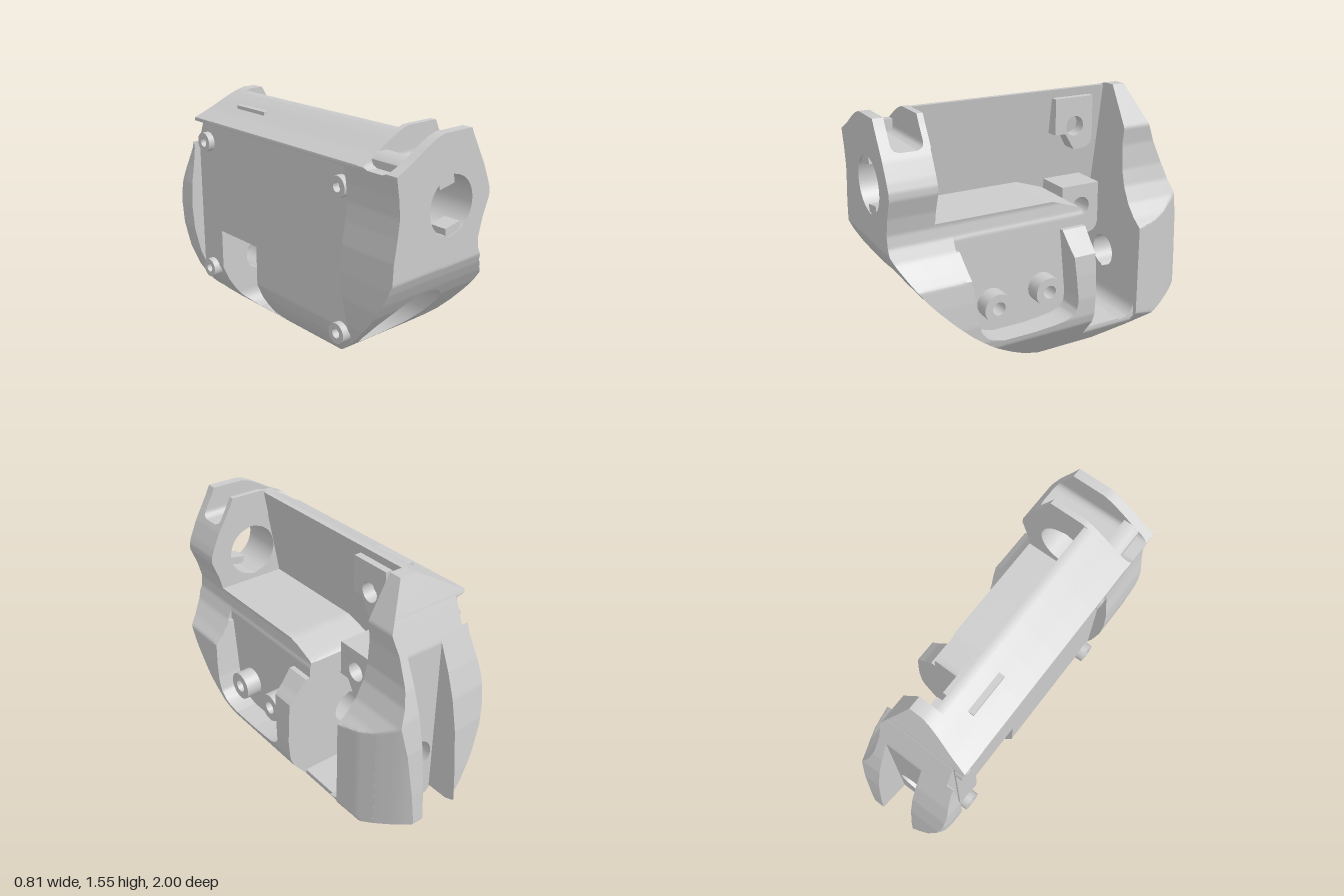
import * as THREE from 'three';
import { toCreasedNormals } from 'three/addons/utils/BufferGeometryUtils.js';

// piecewise-linear function through [input, output] pairs
const curve = (...pts) => (t) => {
  if (t <= pts[0][0]) return pts[0][1];
  for (let i = 1; i < pts.length; i++) {
    const [t0, v0] = pts[i - 1], [t1, v1] = pts[i];
    if (t <= t1) return v0 + ((t - t0) / (t1 - t0)) * (v1 - v0);
  }
  return pts[pts.length - 1][1];
};

// outer limits of the housing, as functions of height
const xMin = curve([0, 0.19], [0.02, 0.1], [0.055, 0], [0.11, -0.1], [0.2, -0.2], [0.27, -0.255], [0.34, -0.3],
  [0.48, -0.36], [0.65, -0.4], [0.8, -0.41], [0.95, -0.403], [1.08, -0.382], [1.18, -0.37], [1.28, -0.38],
  [1.39, -0.4], [1.44, -0.3], [1.5, -0.2], [1.535, -0.13], [1.55, -0.08]);
const xMax = curve([0, 0.2], [0.22, 0.375], [0.28, 0.395], [0.4, 0.405], [0.55, 0.4], [0.67, 0.39], [0.72, 0.34],
  [0.8, 0.275], [0.88, 0.237], [0.95, 0.23], [1.05, 0.255], [1.16, 0.298], [1.2, 0.298], [1.25, 0.28],
  [1.35, 0.235], [1.5, 0.15], [1.55, 0.125]);
const front = curve([0, 0.08], [0.05, 0.2], [0.11, 0.3], [0.18, 0.4], [0.255, 0.5], [0.335, 0.6], [0.425, 0.695],
  [0.525, 0.79], [0.6, 0.855], [0.7, 0.925], [0.78, 0.972], [0.84, 1]);
const back = curve([0, -0.32], [0.055, -0.55], [0.14, -0.8], [0.215, -1], [0.42, -0.985], [0.69, -0.955],
  [0.88, -0.915], [1.03, -0.865], [1.16, -0.81], [1.35, -0.73], [1.55, -0.64]);

// side plate: recessed outside below its top lip, leaning inside
const plane = (y) => (y < 1.37 ? Math.max(xMin(y), -0.34) : xMin(y));
const lean = (y) => -0.1 - 0.176 * (1.535 - y);
// rear right flank: tapers backwards and is scooped out towards the top
const taper = curve([-1, 0.14], [-0.95, 0.18], [-0.9, 0.21], [-0.8, 0.26], [-0.7, 0.3], [-0.56, 0.33]);
const scoop = curve([0.73, 0.33], [0.78, 0.265], [0.85, 0.205], [0.95, 0.155], [1.05, 0.13], [1.2, 0.12],
  [1.31, 0.135], [1.55, 0.0]);
const flank = (y, z) => Math.min(xMax(y), taper(z), scoop(y));
// edge of a round bore running along z
const arc = (cx, cy, r, side) => (y) => cx + side * Math.sqrt(Math.max(0, r * r - (y - cy) ** 2));

const material = new THREE.MeshStandardMaterial({ color: 0xcccccc, side: THREE.DoubleSide });
const val = (f, ...args) => (typeof f === 'function' ? f(...args) : f);
const circle = (x, y, r) => new THREE.Path().absarc(x, y, r, 0, Math.PI * 2, true);

export function createModel() {
  const model = new THREE.Group();
  const add = (name, geometry) => {
    const mesh = new THREE.Mesh(toCreasedNormals(geometry, 0.55), material);
    mesh.name = name;
    model.add(mesh);
  };

  // a box whose x limits follow (y, z) and whose z limits follow y
  const solid = (name, [y0, y1], [z0, z1], a, b) => {
    const g = new THREE.BoxGeometry(1, 1, 1, 1, Math.max(2, Math.ceil((y1 - y0) * 90)), 8);
    const p = g.attributes.position;
    for (let i = 0; i < p.count; i++) {
      const y = y0 + (p.getY(i) + 0.5) * (y1 - y0);
      const zb = val(z0, y), zf = Math.max(zb, val(z1, y));
      const z = zb + (p.getZ(i) + 0.5) * (zf - zb);
      const xb = val(b, y, z), xa = Math.min(val(a, y, z), xb);
      p.setXYZ(i, xa + (p.getX(i) + 0.5) * (xb - xa), y, z);
    }
    add(name, g);
  };
  // the same, pierced by a round bore
  const bored = (name, ys, zs, a, b, cx, cy, r) => {
    const left = arc(cx, cy, r, -1), right = arc(cx, cy, r, 1);
    solid(name + 'Left', ys, zs, a, (y, z) => Math.max(left(y), val(a, y, z)));
    solid(name + 'Right', ys, zs, (y, z) => Math.max(right(y), val(a, y, z)), b);
  };

  // lower body: bore r 0.105 opening into a round recess r 0.22
  const top = 0.97, lip = 0.63;
  const until = (limit) => (y) => Math.min(limit, front(y));
  const ledge = (y) => -0.2 + (Math.max(0, y - 0.9) / 0.07) * 0.2;
  const skin = (y) => Math.min(0.2, xMax(y));
  const floor = (y) => Math.min(0.245, xMax(y));
  bored('lowerCore', [0, top], [ledge, until(0.35)], plane, skin, -0.05, 0.46, 0.105);
  bored('recessWall', [0.145, top], [0.35, until(lip)], plane, skin, -0.05, 0.46, 0.22);
  bored('lowerNose', [0.364, top], [lip, front], xMin, xMax, -0.05, 0.46, 0.22);

  // recess floor with three bolt holes and a raised collar
  const disc = new THREE.Shape().absarc(-0.05, 0.46, 0.222, 0, Math.PI * 2);
  disc.holes.push(circle(-0.05, 0.46, 0.105), circle(-0.12, 0.61, 0.03), circle(0.12, 0.445, 0.03),
    circle(-0.143, 0.325, 0.03));
  add('recessFloor', new THREE.ExtrudeGeometry(disc, { depth: 0.04, bevelEnabled: false, curveSegments: 32 })
    .translate(0, 0, 0.345));
  const collar = [[0.105, 0.36], [0.137, 0.36], [0.137, 0.395], [0.105, 0.395], [0.105, 0.36]];
  add('boreCollar', new THREE.LatheGeometry(collar.map(([r, z]) => new THREE.Vector2(r, z)), 40)
    .rotateX(Math.PI / 2).translate(-0.05, 0.46, 0));

  // right skin around the open-topped side pocket
  const pocketRear = curve([0.26, 0.2], [0.275, 0.02], [0.3, -0.045], [0.34, -0.075], [0.4, -0.08], [0.8, -0.045]);
  const pocketFront = curve([0.26, 0.4], [0.275, 0.46], [0.3, 0.51], [0.35, 0.55], [0.45, 0.572], [0.8, 0.61]);
  solid('skinBottom', [0, 0.26], [-0.2, front], skin, xMax);
  solid('skinRear', [0.26, 0.8], [-0.2, pocketRear], skin, xMax);
  solid('skinFront', [0.26, 0.8], [pocketFront, until(lip)], skin, xMax);
  solid('pocketFloor', [0.26, 0.8], [-0.2, until(lip)], skin, floor);
  solid('skinTop', [0.8, top], [ledge, lip], skin, floor);

  // front block with the round window and a slot across its top
  bored('frontBlock', [top, 1.38], [0.73, 1], xMin, xMax, 0, 1.17, 0.16);
  const fillet = (y) => 0.04 - Math.sqrt(Math.max(0, 0.0016 - Math.max(0, 1.42 - y) ** 2));
  solid('slotFrontWall', [1.38, 1.55], [(y) => 0.94 - fillet(y), 1], xMin, xMax);
  solid('slotRearWall', [1.38, 1.55], [0.725, (y) => 0.76 + fillet(y)], xMin, xMax);
  solid('slotEnd', [1.38, 1.45], [0.75, 0.95], (y) => Math.max(-0.33, xMin(y)), -0.23);
  // locating tabs in the window
  for (const [x, y] of [[-0.04, 1.3], [0.025, 1.035]]) {
    add('windowTab', new THREE.BoxGeometry(0.11, 0.05, 0.1).rotateZ(0.17).translate(x, y, 0.945));
  }

  // side plate and the opening below it
  solid('sidePlate', [top, 1.37], [-0.56, lip], plane, lean);
  solid('plateLip', [1.37, 1.535], [-0.56, 0.73], xMin, lean);
  solid('plateFrontEdge', [top, 1.37], [lip, 0.73], xMin, lean);
  solid('plateOverWindow', [0.68, top], [-0.56, 0], plane, lean);
  solid('windowSill', [0, 0.13], [(y) => Math.max(-0.56, back(y)), -0.2], xMin, (y) => Math.min(xMax(y), 0.28));
  const corner = (y) => -0.46 - Math.sqrt(Math.max(0, 0.01 - (0.23 - y) ** 2));
  solid('windowCorner', [0.13, 0.23], [-0.57, corner], plane, (y) => Math.min(xMax(y), 0.3));

  // rear wall, slit and the two grip ribs either side of the channel
  const behind = (limit) => (y) => Math.max(limit, back(y));
  bored('rearWall', [0.058, 1.37], [behind(-0.72), -0.56], plane, flank, -0.05, 0.46, 0.105);
  solid('rearWallTop', [1.37, 1.55], [behind(-0.72), -0.56], xMin, flank);
  const slit = (y) => Math.max(-0.33, xMin(y));
  bored('rearSpacer', [0.115, 1.37], [behind(-0.8), -0.71], slit, flank, -0.05, 0.46, 0.105);
  const round = (z) => 0.1 * Math.max(0, (-z - 0.8) / 0.2) ** 4;
  solid('leftRib', [0.19, 1.22], [back, -0.78], (y, z) => xMin(y) + round(z), -0.17);
  solid('rightRib', [0.135, 1.22], [back, -0.78], 0.07, flank);

  // rounded blocks on the inside of the side plate: height, hole height, inner end
  for (const [y, hole, end] of [[0.64, 0.18, 0.02], [1.165, 0.145, -0.065]]) {
    const s = new THREE.Shape();
    s.moveTo(0.2, 0.32).lineTo(0.2, 0.1).lineTo(0.27, 0.1).lineTo(0.33, 0).lineTo(0.38, 0);
    s.quadraticCurveTo(0.46, 0, 0.46, 0.08);
    s.lineTo(0.46, 0.32);
    s.holes.push(circle(0.335, hole, 0.06));
    const g = new THREE.ExtrudeGeometry(s, { depth: end + 0.26, bevelEnabled: false, curveSegments: 16 });
    add('screwBlock', g.rotateY(Math.PI / 2).translate(-0.26, y, 0));
  }

  // hollow screw bosses, axis along x
  const boss = (name, x0, x1, y, z, r, hole) => {
    const pts = [[hole, x0], [r, x0], [r, x1], [hole, x1], [hole, x0]].map(([a, b]) => new THREE.Vector2(a, b));
    add(name, new THREE.LatheGeometry(pts, 32).rotateZ(-Math.PI / 2).translate(0, y, z));
  };
  boss('pocketBoss', 0.24, 0.345, 0.44, 0.41, 0.088, 0.04);
  boss('pocketBoss', 0.24, 0.345, 0.465, 0.08, 0.088, 0.04);
  for (const z of [-0.66, 0.56]) for (const y of [0.41, 1.24]) boss('plateBoss', -0.38, -0.3, y, z, 0.06, 0.028);

  return model;
}
